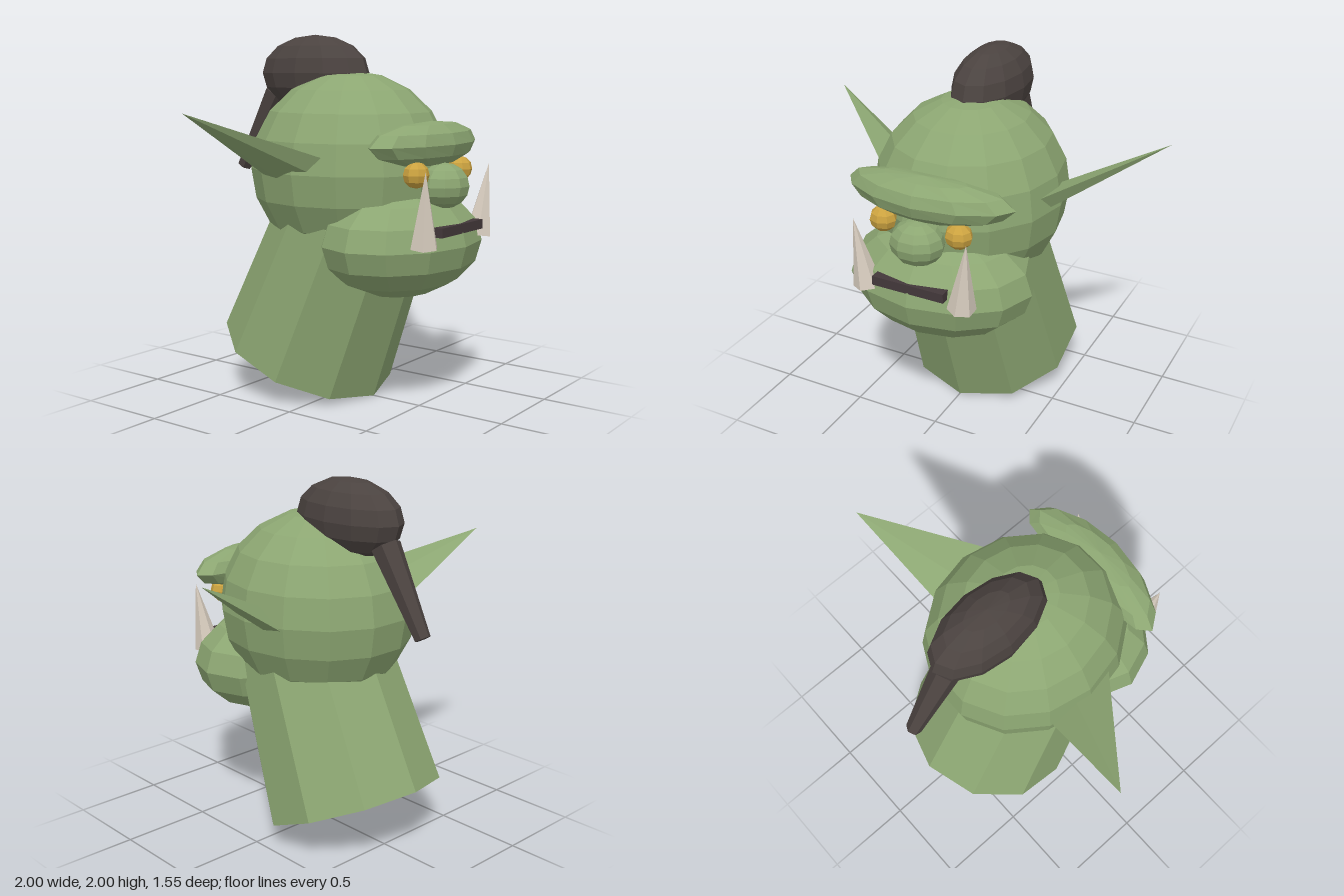
import * as THREE from 'three';
import { ConvexGeometry } from 'three/addons/geometries/ConvexGeometry.js';

export function createModel() {
  const model = new THREE.Group();
  model.name = 'ogreHead';

  const material = (name, color) => {
    const m = new THREE.MeshStandardMaterial({ color, flatShading: true });
    m.name = name;
    return m;
  };
  const skin = material('green skin', 0x8ca672);
  const hair = material('dark hair', 0x4b4340);
  const lip = material('mouth brown', 0x43383a);
  const gold = material('gold eyes', 0xcca340);
  const ivory = material('ivory tusks', 0xd8cdbf);

  const add = (name, geometry, mat) => {
    const mesh = new THREE.Mesh(geometry, mat);
    mesh.name = name;
    model.add(mesh);
    return mesh;
  };
  const ellipsoid = (name, mat, center, radii, w, h) =>
    add(name, new THREE.SphereGeometry(1, w, h).scale(...radii).translate(...center), mat);

  // Tapered prism between two points
  const taper = (name, mat, from, to, r0, r1, sides) => {
    const a = new THREE.Vector3(...from), b = new THREE.Vector3(...to);
    const dir = b.clone().sub(a);
    const mesh = add(name, new THREE.CylinderGeometry(r1, r0, dir.length(), sides), mat);
    mesh.position.copy(a).add(b).multiplyScalar(0.5);
    mesh.quaternion.setFromUnitVectors(new THREE.Vector3(0, 1, 0), dir.normalize());
    return mesh;
  };

  // Skull, jaw, neck and nose
  ellipsoid('skull', skin, [0, 1.27, 0.04], [0.52, 0.53, 0.565], 14, 10);
  ellipsoid('jaw', skin, [0, 0.9, 0.38], [0.52, 0.3, 0.395], 12, 8);
  taper('neck', skin, [0, 0.195, -0.26], [0, 1.02, 0.09], 0.5, 0.43, 10);
  ellipsoid('nose', skin, [0, 1.21, 0.637], [0.147, 0.12, 0.133], 10, 8);

  // Brow ridge, bent back at both ends
  const brow = new THREE.SphereGeometry(1, 12, 6).scale(0.475, 0.118, 0.145);
  const p = brow.attributes.position;
  for (let i = 0; i < p.count; i++) p.setZ(i, p.getZ(i) - 0.27 * p.getX(i) ** 2);
  brow.translate(0, 1.425, 0.56);
  add('browRidge', brow, skin);

  // Mouth slit
  add('mouth', new THREE.BoxGeometry(0.41, 0.05, 0.1).translate(0, 0.995, 0.705), lip);

  // Topknot and tail
  ellipsoid('topknot', hair, [0, 1.785, -0.205], [0.185, 0.21, 0.352], 12, 8);
  taper('hairTail', hair, [0, 1.24, -0.737], [0, 1.675, -0.47], 0.043, 0.08, 6);

  // Ear outline near the skull; the ear narrows from here to its tip
  const earRoot = [
    [0.51, 1.38, 0.165], [0.53, 1.31, 0.1], [0.52, 1.265, -0.09],
    [0.49, 1.27, -0.19], [0.5, 1.37, -0.05],
  ];
  const earTip = [1, 1.595, -0.25];

  // Paired parts
  for (const [side, s] of [['left', 1], ['right', -1]]) {
    ellipsoid(side + 'Eye', gold, [s * 0.217, 1.28, 0.605], [0.074, 0.068, 0.066], 8, 6);
    taper(side + 'Tusk', ivory, [s * 0.275, 0.925, 0.69], [s * 0.32, 1.31, 0.725], 0.075, 0, 6);
    const points = [earTip, ...earRoot.map(q => q.map((v, i) => earTip[i] + 1.2 * (v - earTip[i])))];
    add(side + 'Ear', new ConvexGeometry(points.map(q => new THREE.Vector3(s * q[0], q[1], q[2]))), skin);
  }

  return model;
}
